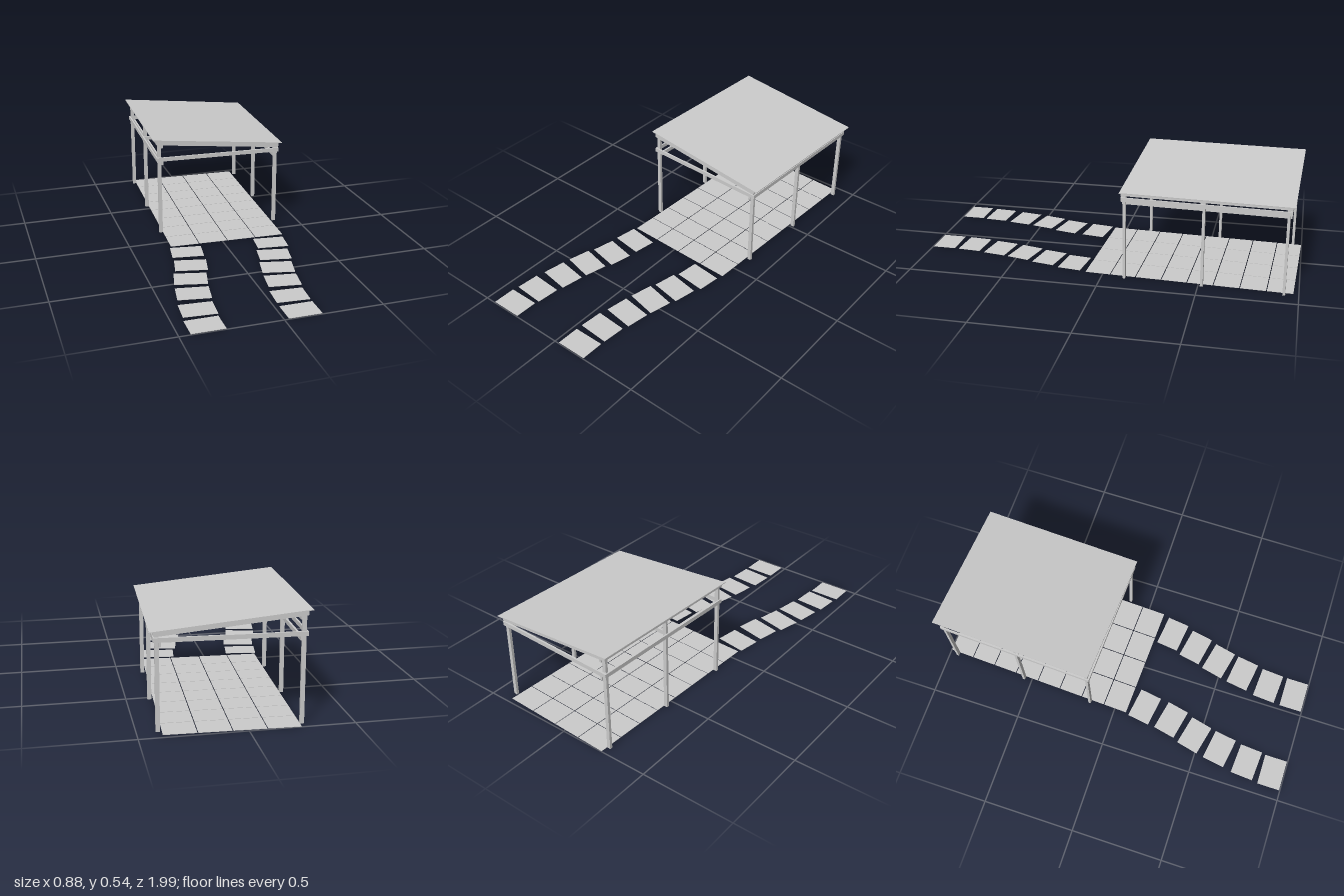
import * as THREE from 'three';

const material = new THREE.MeshStandardMaterial({ color: 0xcccccc, flatShading: true, side: THREE.DoubleSide });

function box(parent, name, [w, h, d], [x, y, z]) {
  const mesh = new THREE.Mesh(new THREE.BoxGeometry(w, h, d), material);
  mesh.name = name;
  mesh.position.set(x, y, z);
  parent.add(mesh);
  return mesh;
}

export function createModel() {
  const model = new THREE.Group();
  model.name = 'carportWithDriveway';

  // The shelter stands at a slight angle to the drive
  const shelter = new THREE.Group();
  shelter.name = 'carport';
  shelter.position.set(0.0575, 0, -0.541);
  shelter.rotation.y = -0.04;
  model.add(shelter);

  const slope = Math.atan(0.1);
  const roofY = (x) => 0.503 - 0.1 * x;

  // Paved floor: thin tiles with narrow joints
  const floor = new THREE.Group();
  floor.name = 'pavedFloor';
  shelter.add(floor);
  const cols = 4, rows = 8, width = 0.636, depth = 1.07, joint = 0.004;
  const tw = width / cols, td = depth / rows;
  for (let i = 0; i < cols; i++) {
    for (let j = 0; j < rows; j++) {
      box(floor, 'floorTile', [tw - joint, 0.002, td - joint],
        [-0.004 + (i + 0.5) * tw - width / 2, 0.001, 0.088 + (j + 0.5) * td - depth / 2]);
    }
  }

  // Three frames, each with two posts, a level tie and a sloping rafter
  const frames = [[0.41, 0.012], [0.01, 0.012], [-0.4, -0.012]];
  for (const [z, offset] of frames) {
    for (const x of [-0.33, 0.33]) {
      const h = roofY(x) - 0.01;
      box(shelter, 'post', [0.02, h, 0.014], [x, h / 2, z]);
    }
    box(shelter, 'tieBeam', [0.69, 0.021, 0.01], [0, 0.43, z + offset]);
    const rafter = box(shelter, 'rafter', [0.69, 0.023, 0.01], [0, 0.491, z + offset]);
    rafter.rotation.z = -slope;
  }

  // Long side rails, inside and outside the posts
  const length = 0.84;
  for (const side of [-1, 1]) {
    box(shelter, 'outerSideRail', [0.008, 0.021, length], [side * 0.343, 0.43, 0.005]);
    box(shelter, 'innerSideRail', [0.01, 0.021, length], [side * 0.316, 0.409, 0.005]);
  }
  box(shelter, 'highEavesRail', [0.01, 0.018, length], [-0.316, 0.504, 0.005]);
  box(shelter, 'highEavesFascia', [0.008, 0.022, length], [-0.343, 0.526, 0.005]);
  box(shelter, 'lowEavesRail', [0.008, 0.018, length], [0.343, 0.459, 0.005]);

  // Single pitch roof
  const roof = box(shelter, 'roof', [0.733, 0.004, 0.861], [0, 0.5055, 0]);
  roof.rotation.z = -slope;

  // Two curving rows of paving slabs: x, z, turn
  const tracks = {
    rightTrack: [[-0.224, 0.157, 0.15], [-0.249, 0.32, 0.21], [-0.293, 0.469, 0.23],
      [-0.324, 0.623, 0.16], [-0.349, 0.785, 0.07], [-0.36, 0.934, 0]],
    leftTrack: [[0.243, 0.177, 0.12], [0.206, 0.326, 0.19], [0.167, 0.474, 0.22],
      [0.138, 0.623, 0.15], [0.113, 0.782, 0.07], [0.107, 0.934, 0]],
  };
  for (const [name, slabs] of Object.entries(tracks)) {
    const track = new THREE.Group();
    track.name = name;
    model.add(track);
    for (const [x, z, turn] of slabs) {
      box(track, 'pavingSlab', [0.167, 0.002, 0.123], [x, 0.001, z]).rotation.y = -turn;
    }
  }
  return model;
}
